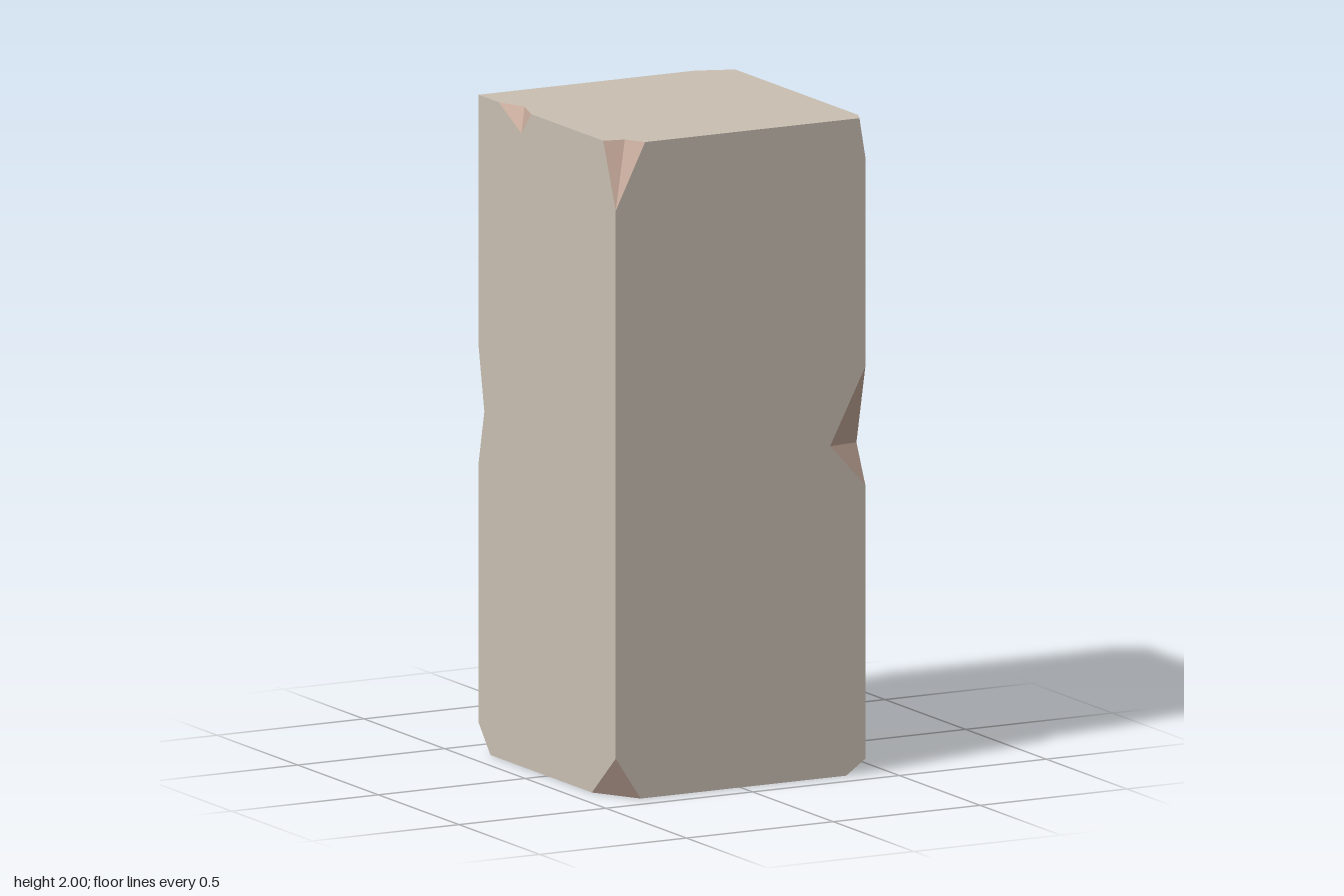
import * as THREE from 'three';

const V = (x, y, z) => new THREE.Vector3(x, y, z);
const H = 0.425; // half width of the block
const TOP = 2;

// Flat polygons merged in one geometry; each is turned to face its outward direction.
function facets(list) {
  const pos = [];
  for (const [pts, out] of list) {
    const n = V(0, 0, 0);
    pts.forEach((p, i) => n.add(p.clone().cross(pts[(i + 1) % pts.length])));
    const loop = n.dot(V(...out)) < 0 ? [...pts].reverse() : pts;
    n.normalize();
    if (loop !== pts) n.negate();
    const u = V(n.y, n.z, n.x).cross(n).normalize();
    const w = n.clone().cross(u);
    const flat = loop.map((p) => new THREE.Vector2(p.dot(u), p.dot(w)));
    for (const tri of THREE.ShapeUtils.triangulateShape(flat, [])) {
      for (const i of tri) pos.push(loop[i].x, loop[i].y, loop[i].z);
    }
  }
  const g = new THREE.BufferGeometry();
  g.setAttribute('position', new THREE.Float32BufferAttribute(pos, 3));
  g.computeVertexNormals();
  return g;
}

export function createModel() {
  const stone = new THREE.MeshStandardMaterial({ color: 0xc9c0b2 });
  stone.name = 'stone';
  const chipped = new THREE.MeshStandardMaterial({ color: 0xc6aa9b });
  chipped.name = 'chippedStone';

  // Corner chips: x = point on the edge along x, z = along z, y = on the upright edge
  const corner = (sx, sz, y0, x, z, y) => ({
    x: V(x, y0, sz * H), z: V(sx * H, y0, z), y: V(sx * H, y, sz * H),
    out: [sx, y0 - 1, sz],
  });
  const topFR = corner(-1, 1, TOP, -0.325, 0.347, 1.8);
  const topFL = corner(1, 1, TOP, 0.405, 0.38, 1.88);
  const topBL = corner(1, -1, TOP, 0.312, -0.382, 1.59);
  const topBR = V(-H, TOP, -H); // the one whole corner
  const lowFR = corner(-1, 1, 0, -0.34, 0.277, 0.13);
  const lowFL = corner(1, 1, 0, 0.36, 0.18, 0.045);
  const lowBL = corner(1, -1, 0, 0.377, -0.38, 0.03);
  const lowBR = corner(-1, -1, 0, -0.31, -0.352, 0.085);
  const dent = V(-0.36, TOP, 0.363); // inner point of the deepest corner chip

  // Notches in the upright edges: a = on the front/back face, b = on the side face
  const fl = {
    top: V(H, 1.24, H), a: V(0.305, 1.01, H), b: V(H, 1.0, 0.37), low: V(H, 0.88, H),
  };
  const br = {
    top: V(-H, 1.23, -H), a: V(-0.37, 1.05, -H), b: V(-H, 1.04, -0.39), low: V(-H, 0.88, -H),
  };
  const bl = {
    top: V(H, 0.5, -H), low: V(H, 0.255, -H),
    a1: V(0.361, 0.425, -H), a2: V(0.377, 0.245, -H),
    b1: V(H, 0.42, -0.38), b2: V(H, 0.28, -0.37),
  };
  // Notch in the upper rim of the right side
  const rim = {
    back: V(-H, TOP, -0.3), inner: V(-0.39, TOP, -0.205), front: V(-H, TOP, -0.1),
    low: V(-H, 1.93, -0.16),
  };

  const group = new THREE.Group();
  group.name = 'stoneBlock';
  const add = (name, list, material) => {
    const mesh = new THREE.Mesh(facets(list), material);
    mesh.name = name;
    group.add(mesh);
  };

  // Main faces
  add('topFace', [[[topFR.z, dent, topFR.x, topFL.x, topFL.z, topBL.z, topBL.x, topBR,
    rim.back, rim.inner, rim.front], [0, 1, 0]]], stone);
  add('bottomFace', [[[lowFR.z, lowFR.x, lowFL.x, lowFL.z, lowBL.z, lowBL.x, lowBR.x, lowBR.z],
    [0, -1, 0]]], stone);
  add('frontFace', [[[topFR.y, topFR.x, topFL.x, topFL.y, fl.top, fl.a, fl.low,
    lowFL.y, lowFL.x, lowFR.x, lowFR.y], [0, 0, 1]]], stone);
  add('leftFace', [[[topFL.y, topFL.z, topBL.z, topBL.y, bl.top, bl.b1, bl.b2, bl.low,
    lowBL.y, lowBL.z, lowFL.z, lowFL.y, fl.low, fl.b, fl.top], [1, 0, 0]]], stone);
  add('backFace', [[[topBL.y, topBL.x, topBR, br.top, br.a, br.low, lowBR.y, lowBR.x,
    lowBL.x, lowBL.y, bl.low, bl.a2, bl.a1, bl.top], [0, 0, -1]]], stone);
  add('rightFace', [[[topBR, rim.back, rim.low, rim.front, topFR.z, topFR.y, lowFR.y, lowFR.z,
    lowBR.z, lowBR.y, br.low, br.b, br.top], [-1, 0, 0]]], stone);

  // Broken corners
  const chips = { topFL, topBL, lowFR, lowFL, lowBL, lowBR };
  for (const [name, c] of Object.entries(chips)) {
    add(`${name}CornerChip`, [[[c.x, c.z, c.y], c.out]], chipped);
  }
  add('topFRCornerChip', [
    [[topFR.z, dent, topFR.y], topFR.out],
    [[dent, topFR.x, topFR.y], topFR.out],
  ], chipped);

  // Edge notches
  for (const [name, n, out] of [['frontLeftNotch', fl, [1, 0, 1]], ['backRightNotch', br, [-1, 0, -1]]]) {
    add(name, [[[n.top, n.a, n.b], out], [[n.low, n.a, n.b], out]], chipped);
  }
  const back = [1, 0, -1];
  add('backLeftNotch', [
    [[bl.top, bl.b1, bl.a1], back],
    [[bl.b1, bl.b2, bl.a2], back],
    [[bl.b1, bl.a2, bl.a1], back],
    [[bl.b2, bl.low, bl.a2], [0, 1, 0]],
  ], chipped);
  add('rimNotch', [
    [[rim.back, rim.inner, rim.low], [-1, 1, 0]],
    [[rim.inner, rim.front, rim.low], [-1, 1, 0]],
  ], chipped);

  return group;
}
